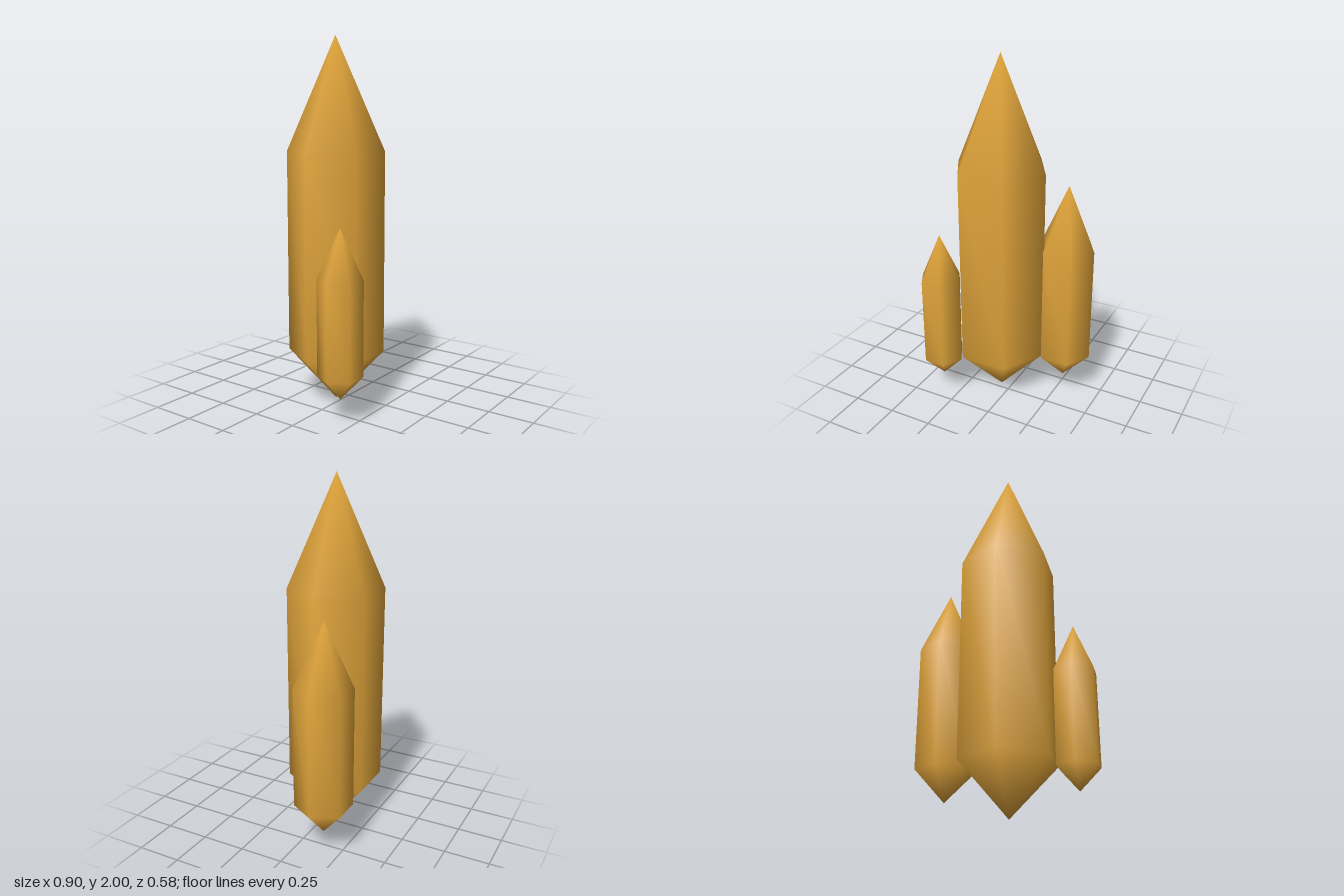
import * as THREE from 'three';
import { mergeVertices } from 'three/addons/utils/BufferGeometryUtils.js';

// Six-sided crystal: pointed base, straight shaft, pointed tip, softly shaded
function crystalGeometry(radius, bottom, shoulderLow, shoulderHigh, tip) {
  const profile = [
    new THREE.Vector2(0, bottom),
    new THREE.Vector2(radius, shoulderLow),
    new THREE.Vector2(radius, shoulderHigh),
    new THREE.Vector2(0, tip),
  ];
  const lathe = new THREE.LatheGeometry(profile, 6, Math.PI / 2);
  lathe.deleteAttribute('normal');
  lathe.deleteAttribute('uv');
  // Weld the seam and the points so shading runs across every edge
  const geometry = mergeVertices(lathe, 1e-4);
  geometry.computeVertexNormals();
  return geometry;
}

export function createModel() {
  const amber = new THREE.MeshStandardMaterial({ color: 0xe0a43a });
  amber.name = 'amber';

  const group = new THREE.Group();
  group.name = 'crystalCluster';

  // name, x, z, radius, then heights from base point to tip
  const crystals = [
    ['mainCrystal', -0.065, -0.04, 0.266, 0, 0.28, 1.39, 2],
    ['leftCrystal', 0.29, -0.151, 0.16, 0.115, 0.28, 0.95, 1.31],
    ['rightCrystal', -0.332, 0.183, 0.12, 0.13, 0.255, 0.76, 1.025],
  ];
  for (const [name, x, z, radius, ...heights] of crystals) {
    const crystal = new THREE.Mesh(crystalGeometry(radius, ...heights), amber);
    crystal.name = name;
    crystal.position.set(x, 0, z);
    group.add(crystal);
  }
  return group;
}
